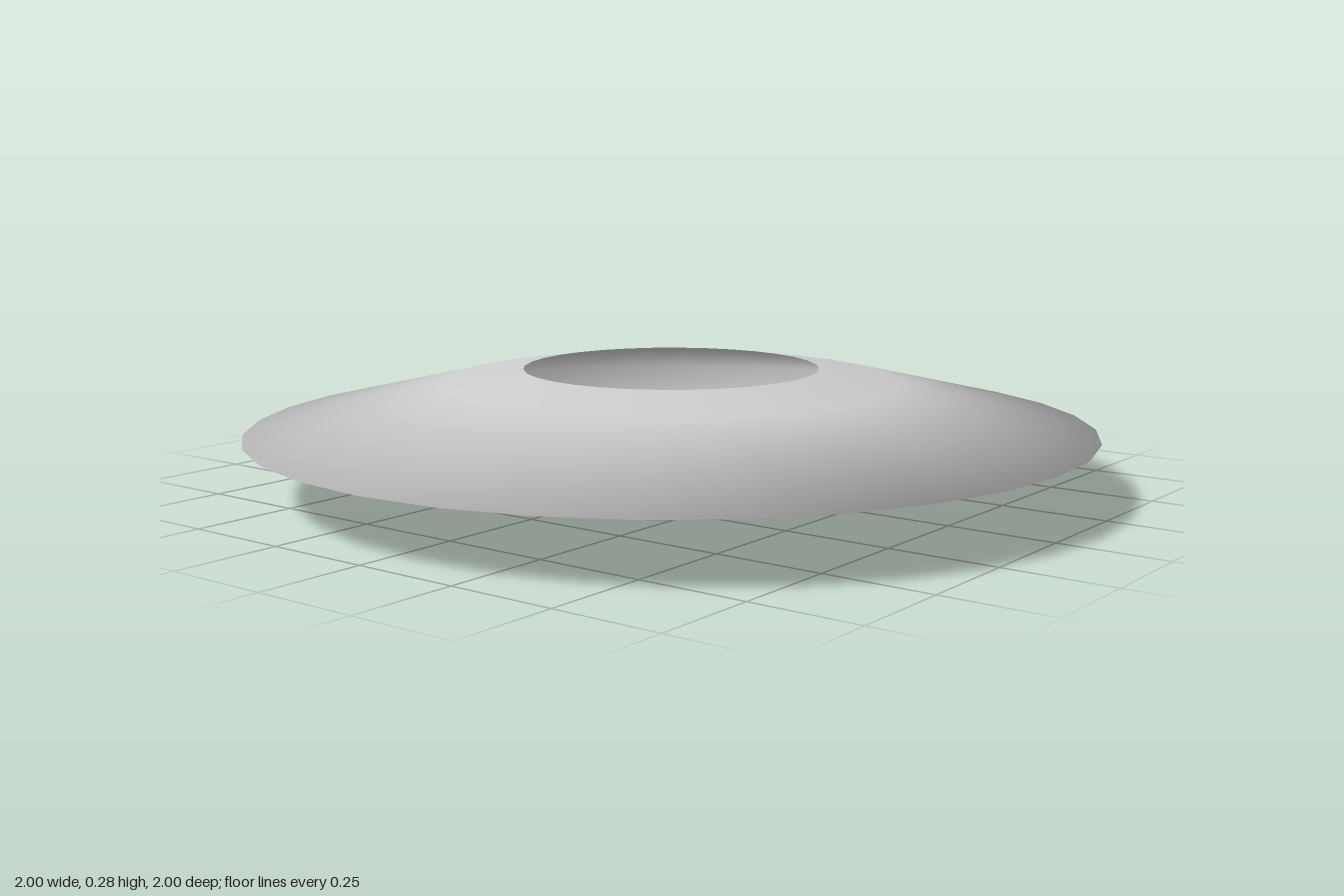
import * as THREE from 'three';

export function createModel() {
  const model = new THREE.Group();
  model.name = 'ringDisc';

  // Half profile of the shell: lower hole edge, shoulder, sharp outer rim, shoulder, upper hole edge
  const mid = 0.139;
  const upper = [[0.54, 0.108], [0.35, 0.139]]; // radius, height above the rim
  const profile = [
    ...upper.slice().reverse().map(([r, h]) => new THREE.Vector2(r, mid - h)),
    new THREE.Vector2(1, mid),
    ...upper.map(([r, h]) => new THREE.Vector2(r, mid + h)),
  ];

  // Thin hollow shell, open around the central hole, smooth across the rim
  const shell = new THREE.Mesh(
    new THREE.LatheGeometry(profile, 32),
    new THREE.MeshStandardMaterial({ color: 0xcccccc, side: THREE.DoubleSide })
  );
  shell.name = 'discShell';
  model.add(shell);
  return model;
}
